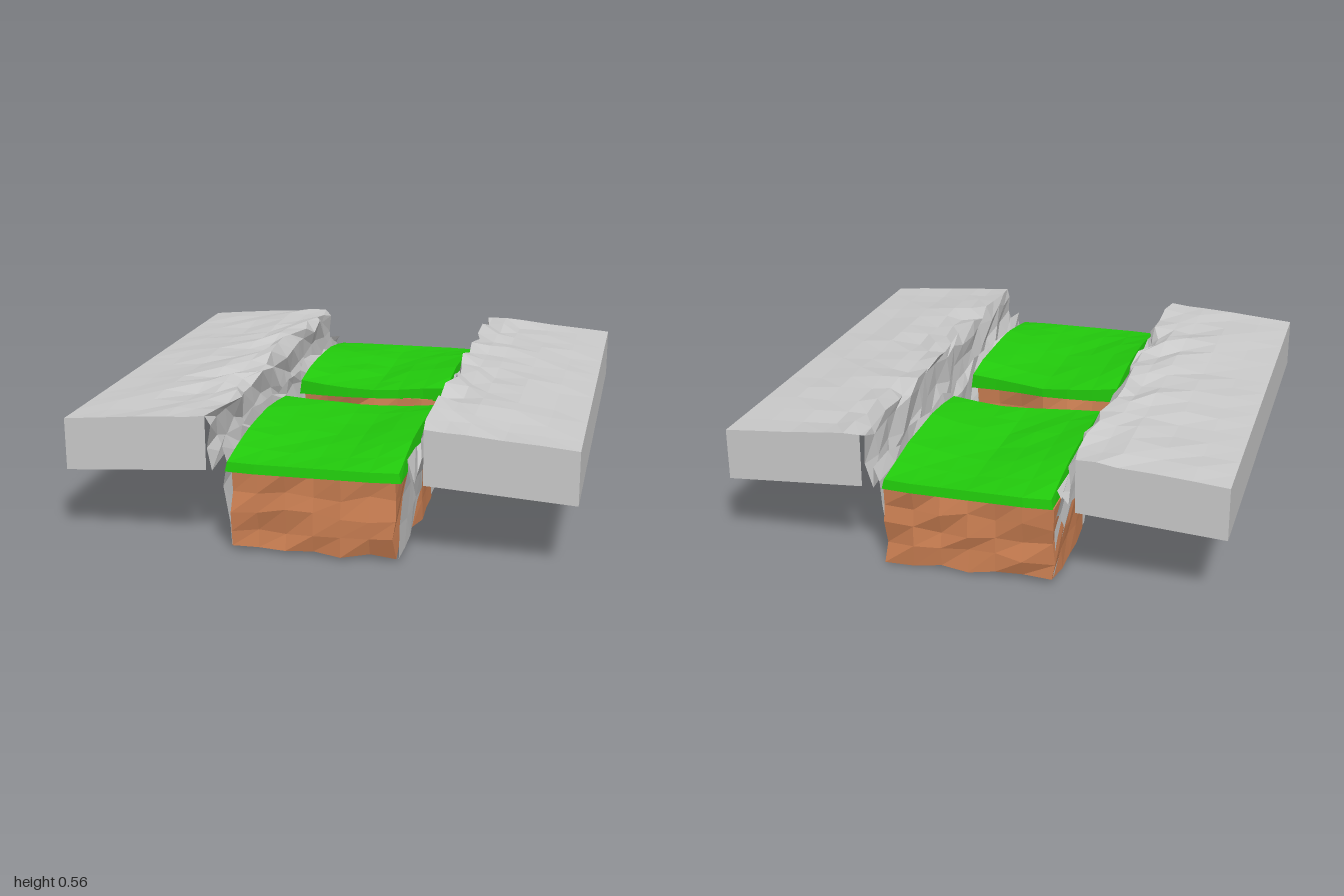
import * as THREE from 'three';

const clamp = THREE.MathUtils.clamp;
const mat = (color) => new THREE.MeshStandardMaterial({ color, flatShading: true, side: THREE.DoubleSide });
const stone = mat(0xcccccc), grass = mat(0x22cc0c), earth = mat(0xcc8053);

// repeatable noise in -1..1
function noise(a, b, c = 0) {
  const s = Math.sin(a * 127.1 + b * 311.7 + c * 74.7) * 43758.5453;
  return (s - Math.floor(s)) * 2 - 1;
}

// surface spanned by fn(i, j) -> [x, y, z]
function sheet(name, nu, nv, fn) {
  const pos = [], index = [];
  for (let j = 0; j <= nv; j++) for (let i = 0; i <= nu; i++) pos.push(...fn(i, j));
  for (let j = 0; j < nv; j++) for (let i = 0; i < nu; i++) {
    const a = j * (nu + 1) + i, b = a + 1, c = a + nu + 1, d = c + 1;
    index.push(a, c, b, b, c, d);
  }
  const g = new THREE.BufferGeometry();
  g.setAttribute('position', new THREE.Float32BufferAttribute(pos, 3));
  g.setIndex(index);
  g.computeVertexNormals();
  const m = new THREE.Mesh(g, stone);
  m.name = name;
  return m;
}

// box whose vertices are moved by rule(point)
function shapedBox(name, size, segs, material, rule) {
  const g = new THREE.BoxGeometry(...size, ...segs);
  const p = g.attributes.position, v = new THREE.Vector3();
  for (let i = 0; i < p.count; i++) {
    v.fromBufferAttribute(p, i);
    rule(v);
    p.setXYZ(i, v.x, v.y, v.z);
  }
  g.computeVertexNormals();
  const m = new THREE.Mesh(g, material);
  m.name = name;
  return m;
}

// one bank: open-bottomed slab plus the rock face dropping into the trench
function bank(side) {
  const group = new THREE.Group();
  group.name = side > 0 ? 'leftBank' : 'rightBank';
  const rows = 16, cols = 5, xs = [1, 0.86, 0.72, 0.58, 0.5, 0.43], ys = [0.5, 0.512, 0.525, 0.535, 0.542, 0.55];
  const zAt = (j) => -0.97 + (1.935 * j) / rows;
  const inner = (j) => j > 0 && j < rows;
  const top = (i, j) => {
    const k = i / cols, n = inner(j) ? 1 : 0.3;
    return [
      side * (xs[i] + (i === cols ? 0.025 * n * noise(j, side, 1) : 0)),
      ys[i] + (i ? 0.024 * k * n * noise(i, j, side) : 0),
      zAt(j) + (i && inner(j) ? 0.03 * k * noise(i, j, side + 5) : 0)];
  };
  const skirt = (p) => [p[0], 0.29 + 0.065 * (1 - Math.abs(p[0])), p[2]];
  group.add(sheet('bankTop', cols, rows, top));
  group.add(sheet('bankOuterWall', 1, rows, (i, j) => (i ? skirt(top(0, j)) : top(0, j))));
  for (const j of [0, rows])
    group.add(sheet('bankEndWall', cols, 1, (i, k) => (k ? skirt(top(i, j)) : top(i, j))));

  // stepped cliff profile: lip, overhang, ledge, trench wall
  const profile = [[0.43, 0.55], [0.405, 0.52], [0.41, 0.42], [0.395, 0.34], [0.37, 0.42],
    [0.355, 0.37], [0.347, 0.27], [0.338, 0.15], [0.33, 0.03]];
  const last = profile.length - 1;
  group.add(sheet('trenchWall', last, rows, (i, j) => {
    if (i === 0) return top(cols, j);
    const [x, y] = profile[i], low = i > 5;
    return [
      side * (x + (low ? 0.009 : 0.016) * noise(i, j, side + 9)),
      y + (i === last ? 0 : 0.025 * noise(i, j, side + 13)),
      zAt(j) + (inner(j) ? 0.02 * noise(i, j, side + 17) : low ? 0.01 : 0)];
  }));
  return group;
}

// jagged inner ends facing the gap, at five stations across
const gapEnds = { 1: [0.13, 0.11, 0.105, 0.13, 0.13], '-1': [0.14, 0.12, 0.13, 0.155, 0.14] };
function gapEdge(end, x) {
  const t = clamp((x / 0.68 + 0.5) * 4, 0, 3.999), i = Math.floor(t), e = gapEnds[end];
  return e[i] + (e[i + 1] - e[i]) * (t - i);
}

// one half of the path: rough earth block with a grass cover
function pathBlock(end) {
  const group = new THREE.Group();
  group.name = end > 0 ? 'frontBlock' : 'backBlock';

  group.add(shapedBox('earthBlock', [0.66, 0.31, 1], [6, 4, 7], earth, (v) => {
    const t = v.z + 0.5, x = v.x, y = v.y, raised = y > 0.15;
    const near = gapEdge(end, x) + 0.02;
    const z = near + (0.975 - near) * t;
    const at = (c) => noise(Math.round(x * 100), Math.round(y * 100), Math.round(t * 100) + end * 7 + c);
    // sides break through the trench wall in patches
    const patch = end > 0 ? (z > 0.18 && z < 0.6 ? 0.012 : -0.012) : (z > 0.5 ? 0.014 : -0.01);
    if (Math.abs(x) > 0.32) v.x += Math.sign(x) * patch + 0.008 * at(1);
    v.y = y + 0.18 + (raised ? 0.005 : 0.014 * at(2));
    v.z = end * (z + (t < 0.01 || t > 0.99 ? 0.016 * at(3) : 0));
    if (end < 0) v.x = -v.x; // keeps the winding outward
  }));

  group.add(shapedBox('grassCover', [0.68, 0.04, 1], [6, 1, 6], grass, (v) => {
    const t = v.z + 0.5, x = end * v.x, isTop = v.y > 0;
    const near = gapEdge(end, x), far = Math.abs(x) > 0.33 ? 0.985 : 0.995;
    const z = near + (far - near) * t;
    const rise = Math.sin(Math.PI * clamp(t * 0.85 + 0.15, 0, 1));
    v.y = isTop ? 0.373 + 0.055 * rise * Math.pow(Math.abs(x) / 0.34, 1.4) + 0.006 * rise * noise(Math.round(x * 50), Math.round(t * 50), end) : 0.335;
    v.x = x * (isTop ? 0.985 : 1.01);
    v.z = end * (isTop && t > 0.99 ? z - 0.005 : z);
  }));
  return group;
}

export function createModel() {
  const model = new THREE.Group();
  model.name = 'trenchPath';
  for (const s of [1, -1]) model.add(bank(s), pathBlock(s));
  return model;
}
